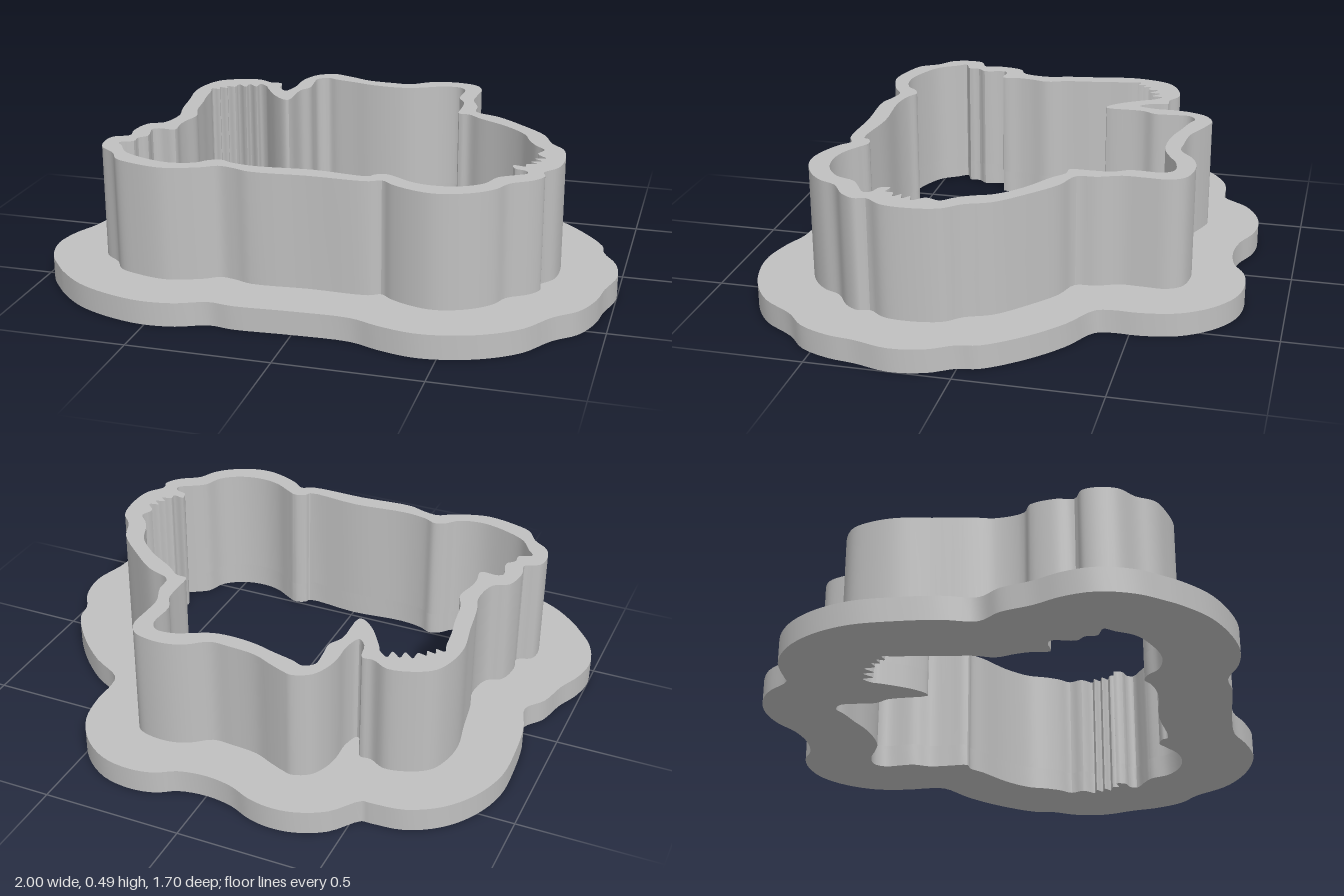
import * as THREE from 'three';
import { toCreasedNormals } from 'three/addons/utils/BufferGeometryUtils.js';

const FLANGE_TOP = 0.085, WALL_TOP = 0.49;

// Outlines are x, z pairs in hundredths of a unit.
const flangeOutline = [
  -53, -69.5, -45, -79, -35, -84, -26, -85, -18, -83.5, -10, -80, 0, -78.5, 10, -80, 17, -84, 26, -85.5,
  37, -83.5, 47, -76.5, 54, -66, 56.5, -53.5, 56.5, -44, 58, -38.5, 70, -31, 82, -20, 91.5, -7, 93, 0,
  98, 9, 100, 21, 97, 33.5, 95.5, 43, 91, 53.5, 83.5, 60.5, 75.5, 72, 64.5, 79.5, 52.5, 83.5, 42, 84.5,
  30, 82, 20, 78.5, 0, 78.5, -20, 79.5, -29, 78.5, -39.5, 82.5, -51.5, 83.5, -65, 80.5, -77, 75,
  -86.5, 67, -90, 63, -96.5, 54, -100, 42, -98.5, 31.5, -94.5, 22, -91.5, 11, -86.5, 3.5, -89.5, -8,
  -91, -21.5, -91, -37.5, -86.5, -51, -78.5, -61.5, -67.5, -68, -56, -69.3,
];

const wallOutline = [
  -36, -51, -35, -57, -32, -63, -26, -66, -22, -65, -17, -63, -10, -60, 0, -59, 7, -59, 14, -64, 20, -66,
  27, -66, 33, -64, 36, -59, 36, -51, 36, -43, 39, -35, 40, -28, 49, -24, 59, -16, 69, -6, 73, 3, 78, 9,
  80, 20, 79, 29, 75, 35, 76, 39, 73, 44, 66, 49, 63, 55, 58, 60, 50, 64, 43, 65, 35, 63, 29, 60, 25, 57,
  21, 59, 0, 59, -20, 60, -26, 58, -32, 57, -37, 60, -45, 63, -51, 64, -61, 62, -68, 59, -72, 53, -78, 48,
  -80, 41, -79, 36, -74, 33, -75, 27, -73, 18, -68, 15, -66, 5, -68, -3, -70, -16, -72, -28, -71, -37,
  -68, -44, -62, -48, -53, -50, -47, -47, -43, -47, -41, -40, -38, -37, -36, -43,
];

// Row of small teeth cut outwards into the inner face of the wall
function teeth(x0, z0, x1, z1, count, depth) {
  const len = Math.hypot(x1 - x0, z1 - z0);
  const nx = -(z1 - z0) / len * depth, nz = (x1 - x0) / len * depth;
  const out = [];
  for (let i = 0; i < count; i++) {
    const a = i / count, b = (i + 0.6) / count;
    out.push(x0 + (x1 - x0) * a, z0 + (z1 - z0) * a);
    out.push(x0 + (x1 - x0) * b + nx, z0 + (z1 - z0) * b + nz);
  }
  return out;
}

// Inner opening, running down the left side, along the front and up the right
const earNotch = [-33, -25, -35, -25, -39.5, -29, -43, -34, -46, -39];
const leftSide = [
  -66, -29, -65, -21, -63.5, -13, -62, -3, -59.5, 4, -61, 11, -61.5, 16, -61, 22.5, -67, 22.5, -69, 24,
  -67.5, 32, -70, 35, -70, 39, -74.5, 41.5,
];
const frontSide = [
  -72, 45, -68, 51, -61, 55, -50, 58, -41, 56, -37, 52, -33, 50.5, -29, 52.5, -20, 54, 0, 52.5, 20, 54,
  21, 52, 25, 50.5, 29, 52.5, 35, 56, 42, 57.5, 51, 56, 58, 51, 61, 44, 65, 41, 70, 37.5, 69, 35, 65, 33.5,
  64, 30, 68, 30.5,
];
const rightAndBack = [
  70, 16, 71.5, 11, 68, 7, 65, 2, 62, -5, 54, -13, 43, -20, 38, -24, 34, -24.5, 33.5, -32, 33, -39,
  30, -45, 30, -56, 27, -59.5, 20, -59, 14, -56, 8, -53.5, 0, -53, -8, -54, -15, -56, -23, -58, -27, -59.5,
  -30.5, -57, -30.5, -51, -30, -44, -32.5, -39,
];
const innerOutline = [
  ...earNotch,
  ...teeth(-47, -41, -59, -37, 3, 3.5),
  ...teeth(-59, -37, -66, -30, 3, 2.5),
  ...leftSide,
  ...frontSide,
  ...teeth(68, 28, 71, 18, 3, 3),
  ...rightAndBack,
];

// Smooth closed curve through an outline; shape y is minus z
function smoothLoop(flat) {
  const pts = [];
  for (let i = 0; i < flat.length; i += 2) {
    pts.push(new THREE.Vector3(flat[i] / 100, -flat[i + 1] / 100, 0));
  }
  const loop = new THREE.CatmullRomCurve3(pts, true, 'centripetal').getPoints(pts.length * 4);
  loop.pop();
  return loop.map((p) => new THREE.Vector2(p.x, p.y));
}

// Upright ring between an outer outline and the inner opening
function ring(name, outline, y0, y1, material) {
  const shape = new THREE.Shape(smoothLoop(outline));
  shape.holes.push(new THREE.Path(smoothLoop(innerOutline)));
  const geo = new THREE.ExtrudeGeometry(shape, { depth: y1 - y0, bevelEnabled: false });
  geo.rotateX(-Math.PI / 2);
  geo.translate(0, y0, 0);
  const mesh = new THREE.Mesh(toCreasedNormals(geo, 0.45), material);
  mesh.name = name;
  return mesh;
}

export function createModel() {
  const grey = new THREE.MeshStandardMaterial({ color: 0xc0c0c0 });
  grey.name = 'light grey plastic';
  const group = new THREE.Group();
  group.name = 'cookieCutter';
  group.add(ring('flange', flangeOutline, 0, FLANGE_TOP, grey));
  group.add(ring('cuttingWall', wallOutline, FLANGE_TOP, WALL_TOP, grey));
  return group;
}
